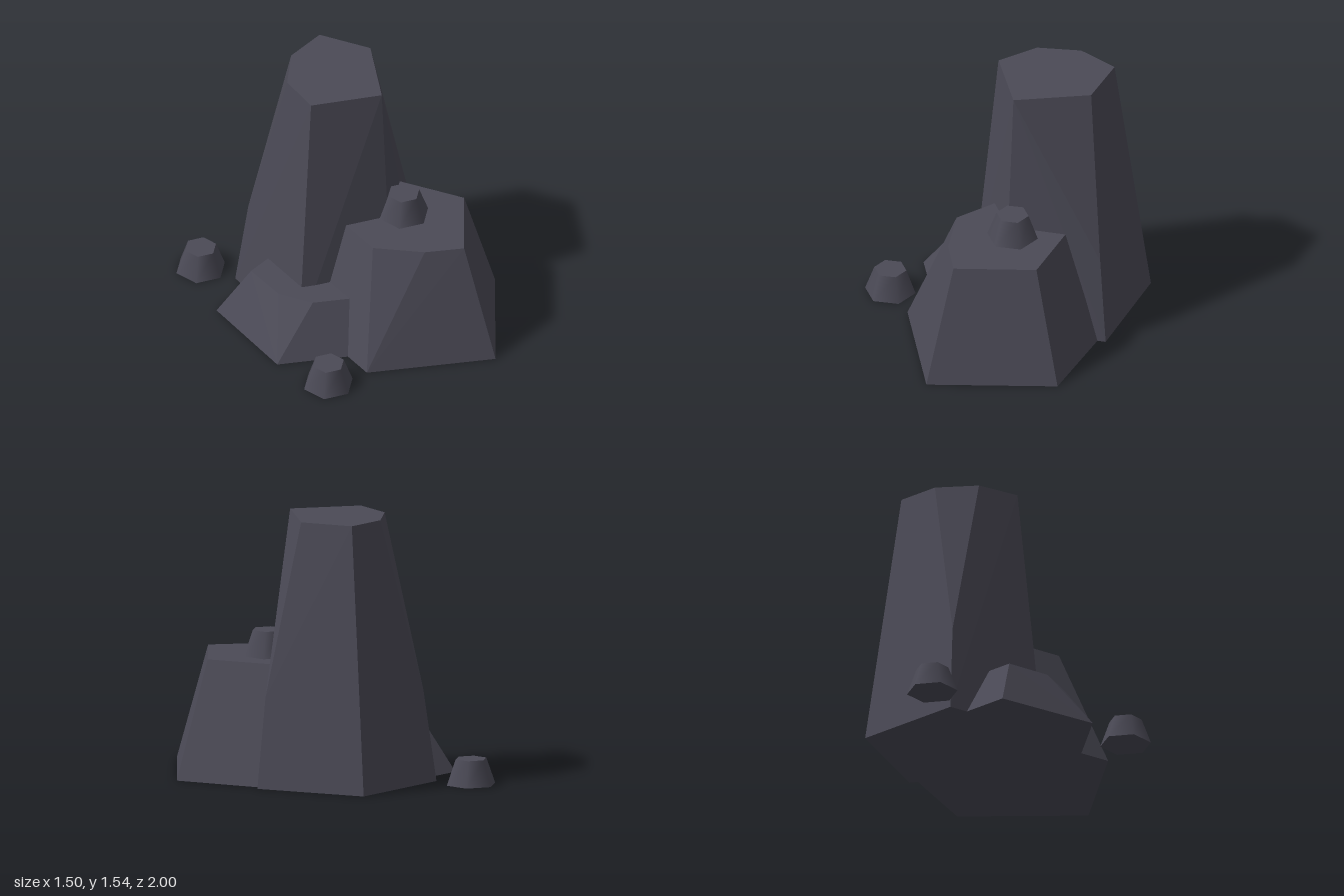
import * as THREE from 'three';
import { ConvexGeometry } from 'three/addons/geometries/ConvexGeometry.js';

const stone = new THREE.MeshStandardMaterial({ color: 0x4b4a56 });
stone.name = 'darkStone';

// Faceted boulder: base and top outlines as [x, z], plus extra chamfer corners as [x, y, z]
function boulder(name, height, base, top, corners = []) {
  const points = [
    ...base.map(([x, z]) => new THREE.Vector3(x, 0, z)),
    ...top.map(([x, z]) => new THREE.Vector3(x, height, z)),
    ...corners.map((c) => new THREE.Vector3(...c)),
  ];
  const mesh = new THREE.Mesh(new ConvexGeometry(points), stone);
  mesh.name = name;
  return mesh;
}

// Small six-sided tapered stone
function pebble(name, x, y, z) {
  const mesh = new THREE.Mesh(new THREE.CylinderGeometry(0.094, 0.148, 0.15, 6), stone);
  mesh.name = name;
  mesh.position.set(x, y + 0.075, z);
  return mesh;
}

export function createModel() {
  const group = new THREE.Group();
  group.name = 'rockFormation';

  // Tall rock with a cut rear corner and a bent side corner
  group.add(boulder('tallRock', 1.54,
    [[-0.2, -0.635], [0.45, -0.635], [0.655, -0.01], [0.125, 0.27], [-0.365, -0.02]],
    [[0.08, -0.45], [0.335, -0.45], [0.425, -0.145], [0.125, 0.19], [-0.21, -0.06], [-0.13, -0.305]],
    [[-0.16, 0.53, -0.571], [0.6, 0.53, -0.025]]));

  // Medium rock in front, one top corner cut away
  group.add(boulder('frontRock', 0.685,
    [[-0.2, -0.25], [0.54, -0.25], [0.75, 0.515], [0.173, 1], [-0.4, 0.515]],
    [[-0.04, -0.1], [0.37, -0.1], [0.54, 0.46], [0.173, 0.765], [0, 0.615], [-0.16, 0.36]]));

  // Low rock at the side, one top corner cut away
  group.add(boulder('sideRock', 0.313,
    [[-0.5, -0.525], [0.12, -0.525], [0.286, 0.07], [-0.19, 0.47], [-0.67, 0.07]],
    [[-0.4, -0.35], [0.02, -0.35], [0.11, 0.05], [-0.19, 0.295], [-0.405, 0.115], [-0.465, -0.09]]));

  // Loose stones
  group.add(pebble('rearPebble', -0.25, 0, -0.852));
  group.add(pebble('frontPebble', -0.622, 0, 0.412));
  group.add(pebble('topPebble', 0.205, 0.685, 0.288));

  return group;
}
